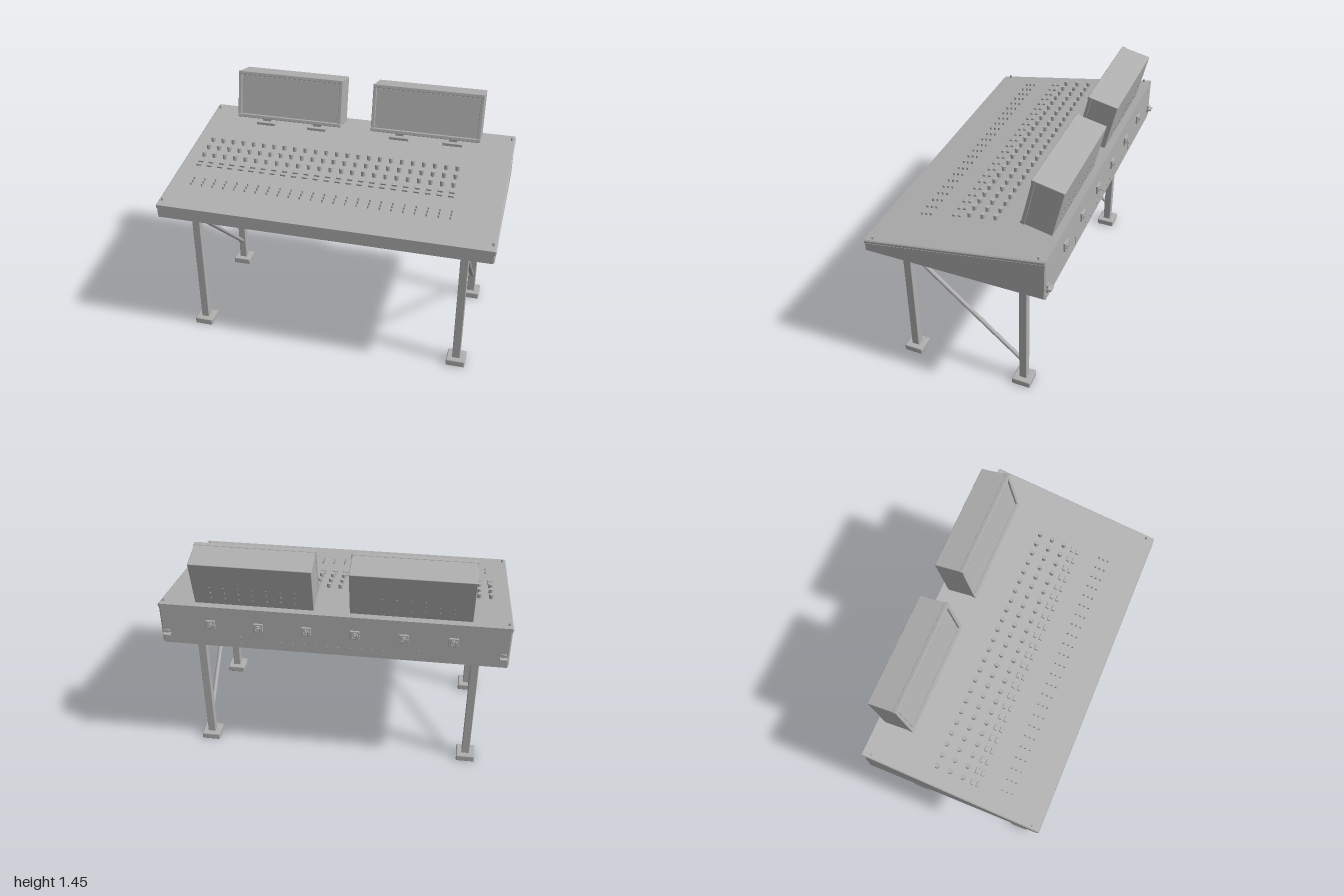
import * as THREE from 'three';
import { RoundedBoxGeometry } from 'three/addons/geometries/RoundedBoxGeometry.js';

const grey = new THREE.MeshStandardMaterial({ color: 0xb0b0b0 });
grey.name = 'satin grey';

function add(parent, name, geometry, x = 0, y = 0, z = 0) {
  const mesh = new THREE.Mesh(geometry, grey);
  mesh.name = name;
  mesh.position.set(x, y, z);
  parent.add(mesh);
  return mesh;
}

const box = (w, h, d) => new THREE.BoxGeometry(w, h, d);
const softBox = (w, h, d, r) => new RoundedBoxGeometry(w, h, d, 1, r);
const cyl = (r, h, n = 12) => new THREE.CylinderGeometry(r, r, h, n);

// Height of the sloping control surface at depth z
const deckY = (z) => 0.942 + 0.174 * (0.546 - z);

// Side profile of [z, y] points swept across the full width, with bevelled edges
function sweep(points, width, bevel) {
  const shape = new THREE.Shape(points.map(([z, y]) => new THREE.Vector2(z, y)));
  const depth = width - 2 * bevel;
  const g = new THREE.ExtrudeGeometry(shape, {
    depth, bevelEnabled: true, bevelThickness: bevel, bevelSize: bevel, bevelOffset: -bevel, bevelSegments: 1,
  });
  return g.translate(0, 0, -depth / 2).rotateY(-Math.PI / 2);
}

function buildConsole() {
  const g = new THREE.Group();
  g.name = 'console';
  add(g, 'consoleCase', sweep([[0.546, 0.862], [0.546, 0.924], [-0.52, 1.11], [-0.52, 0.862]], 1.99, 0.008));
  add(g, 'controlDeck', sweep([[0.546, 0.918], [0.546, 0.942], [-0.52, deckY(-0.52)], [-0.52, 1.104]], 2, 0.006));
  // Corner screws
  for (const x of [-0.977, 0.977]) for (const z of [0.497, -0.475])
    add(g, 'cornerScrew', cyl(0.007, 0.022, 8), x, deckY(z) + 0.006, z);
  return g;
}

// One strip of knobs, buttons and fader caps per channel
function buildControls() {
  const g = new THREE.Group();
  g.name = 'controls';
  const knob = cyl(0.0135, 0.034);
  const button = softBox(0.034, 0.014, 0.021, 0.003);
  const cap = box(0.008, 0.024, 0.011);
  for (let i = 0; i < 24; i++) {
    const x = -0.887 + i * 0.0685;
    for (const z of [-0.115, -0.036, 0.043]) add(g, 'knob', knob, x, deckY(z) + 0.012, z);
    for (const z of [0.1, 0.135]) {
      add(g, 'button', button, x, deckY(z) + 0.004, z).rotation.x = 0.172;
    }
    for (const z of [0.272, 0.3, 0.328]) add(g, 'faderCap', cap, x + 0.026, deckY(z) + 0.004, z);
  }
  return g;
}

// Sockets and small fittings on the rear panel
function buildRearPanel() {
  const g = new THREE.Group();
  g.name = 'rearPanel';
  const back = -0.52;
  for (let i = 0; i < 6; i++) {
    const x = -0.68 + i * 0.276;
    add(g, 'socketPlate', softBox(0.055, 0.055, 0.014, 0.003), x, 1.012, back - 0.004);
    add(g, 'socketRing', new THREE.TorusGeometry(0.016, 0.005, 6, 16), x, 1.012, back - 0.013);
    add(g, 'socketPin', cyl(0.008, 0.016, 10), x, 1.012, back - 0.014).rotation.x = Math.PI / 2;
  }
  for (const x of [-0.962, 0.962]) {
    add(g, 'cableClip', box(0.03, 0.05, 0.01), x, 0.93, back - 0.003);
    add(g, 'cableClipPin', softBox(0.044, 0.012, 0.03, 0.003), x, 0.93, back - 0.014);
  }
  for (const x of [-0.49, 0.53]) add(g, 'rearStrip', box(0.008, 0.05, 0.008), x, 0.915, back);
  for (let i = 0; i < 12; i++)
    add(g, 'rearScrew', box(0.008, 0.008, 0.006), -0.36 + i * 0.065, 0.915, back - 0.001);
  return g;
}

// Tilted display with a raised frame, on two short posts
function buildDisplay(x) {
  const g = new THREE.Group();
  g.name = 'display';
  const w = 0.69, h = 0.3, d = 0.185, rim = 0.022;
  const head = new THREE.Group();
  head.name = 'displayHead';
  head.position.set(x, 1.289, -0.419);
  head.rotation.x = -0.213;
  g.add(head);
  add(head, 'displayCase', softBox(w - 0.006, h - 0.006, d - 0.018, 0.004), 0, 0, -0.009);
  for (const s of [-1, 1]) {
    add(head, 'frameRail', softBox(w, rim, 0.026, 0.004), 0, s * (h - rim) / 2, d / 2 - 0.013);
    add(head, 'frameStile', softBox(rim, h - 0.02, 0.022, 0.004), s * (w - rim) / 2, 0, d / 2 - 0.015);
  }
  add(head, 'screen', box(w - 2 * rim - 0.008, h - 2 * rim - 0.006, 0.006), 0, 0, d / 2 - 0.017);
  // Vent studs on the back
  for (let row = 0; row < 3; row++) for (let i = 0; i < 7; i++)
    add(head, 'ventStud', box(0.006, 0.01, 0.006), -0.24 + i * 0.08, -0.1 + row * 0.04, -d / 2);
  for (const s of [-1, 1]) {
    const px = x + s * 0.171;
    add(g, 'displayPost', box(0.053, 0.12, 0.054), px, 1.16, -0.392);
    add(g, 'displayBase', softBox(0.124, 0.02, 0.078, 0.004), px, deckY(-0.378) + 0.004, -0.378);
  }
  return g;
}

function buildStand() {
  const g = new THREE.Group();
  g.name = 'stand';
  for (const x of [-0.821, 0.821]) {
    for (const z of [0.381, -0.334]) {
      add(g, 'leg', softBox(0.048, 0.835, 0.047, 0.004), x, 0.4525, z);
      add(g, 'foot', softBox(0.114, 0.042, 0.114, 0.007), x, 0.021, z);
    }
    // Diagonal brace from the top of the front leg to the bottom of the rear leg
    const a = new THREE.Vector3(x, 0.785, 0.37), b = new THREE.Vector3(x, 0.163, -0.326);
    const brace = add(g, 'brace', cyl(0.0135, a.distanceTo(b)));
    brace.position.copy(a).lerp(b, 0.5);
    brace.quaternion.setFromUnitVectors(new THREE.Vector3(0, 1, 0), a.clone().sub(b).normalize());
  }
  add(g, 'crossbar', softBox(1.6, 0.037, 0.072, 0.004), 0, 0.78, 0.025);
  return g;
}

export function createModel() {
  const model = new THREE.Group();
  model.name = 'mixingDesk';
  model.add(buildConsole(), buildControls(), buildRearPanel(), buildStand());
  for (const x of [-0.437, 0.449]) model.add(buildDisplay(x));
  return model;
}
